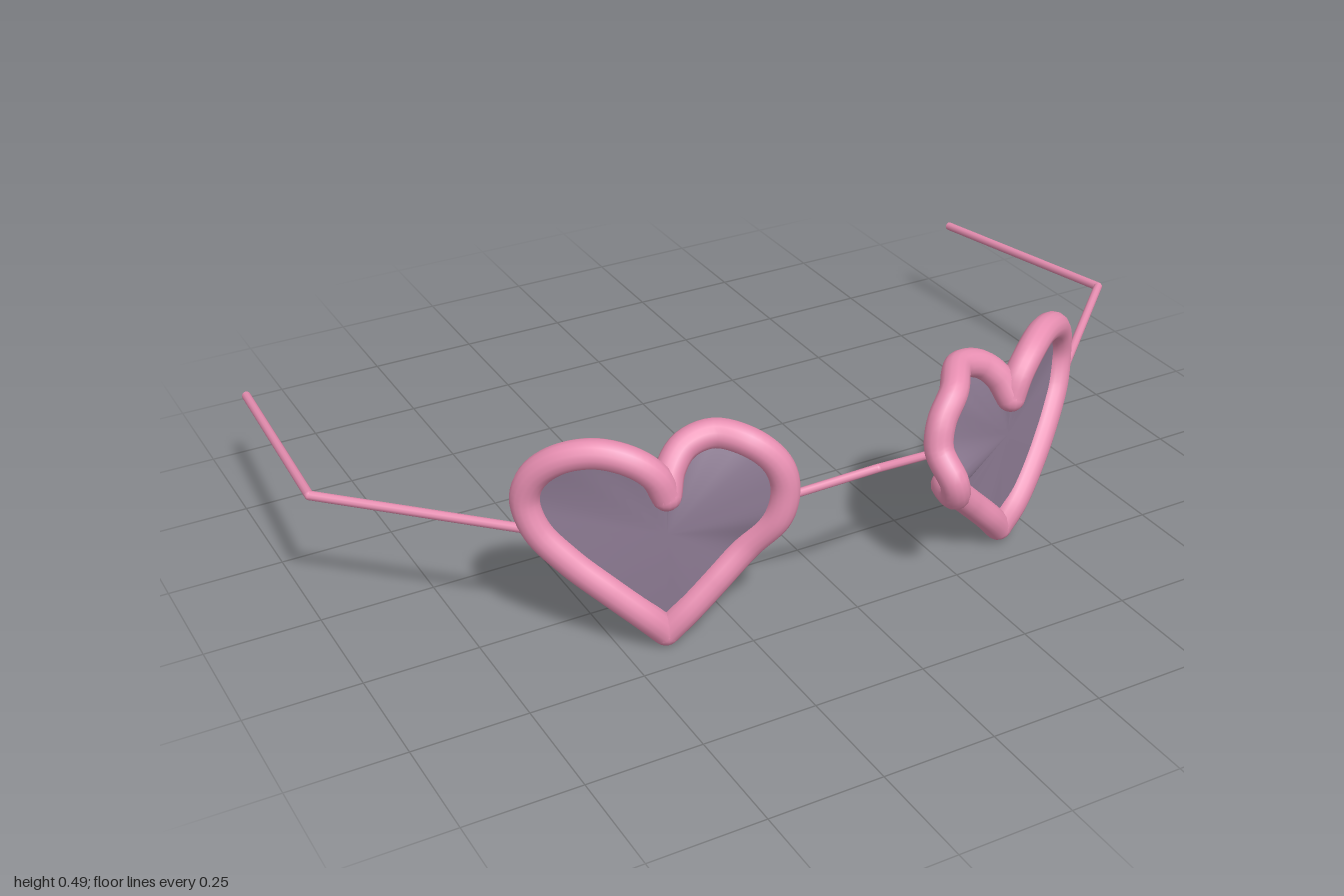
import * as THREE from 'three';

const pink = new THREE.MeshStandardMaterial({ color: 0xe88fb2 });
const tint = new THREE.MeshStandardMaterial({ color: 0x8c7a92, side: THREE.DoubleSide });
const V = (x, y, z) => new THREE.Vector3(x, y, z);

function add(parent, name, geometry, material) {
  const mesh = new THREE.Mesh(geometry, material);
  mesh.name = name;
  parent.add(mesh);
  return mesh;
}

// Straight wire through the given points, with rounded elbows
function wire(name, points, r) {
  const group = new THREE.Group();
  group.name = name;
  points.forEach((p, i) => {
    if (i === 0) return;
    const a = points[i - 1], dir = p.clone().sub(a);
    const rod = add(group, name + 'Rod', new THREE.CylinderGeometry(r, r, dir.length(), 10), pink);
    rod.position.copy(a).addScaledVector(dir, 0.5);
    rod.quaternion.setFromUnitVectors(V(0, 1, 0), dir.normalize());
    if (i < points.length - 1) {
      add(group, name + 'Elbow', new THREE.SphereGeometry(r, 10, 8), pink).position.copy(p);
    }
  });
  return group;
}

// Half heart from notch to tip: distance from the heart's middle, height
const half = [[0, 0.37], [0.02, 0.415], [0.06, 0.45], [0.12, 0.466], [0.18, 0.45], [0.222, 0.405],
  [0.236, 0.35], [0.222, 0.285], [0.17, 0.215], [0.1, 0.145], [0.04, 0.085], [0, 0.04]];
const outerZ = [0.435, 0.43, 0.41, 0.37, 0.33, 0.295, 0.282, 0.298, 0.338, 0.385, 0.415, 0.42];
const innerZ = [0.435, 0.415, 0.4, 0.41, 0.46, 0.485, 0.492, 0.488, 0.455, 0.445, 0.435, 0.42];
const MID = 0.41;

// Heart rim (two bent tubes meeting at notch and tip) and its fanned lens
function heart(name, side, bump) {
  const group = new THREE.Group();
  group.name = name;
  const outer = half.map(([d, y], i) => V(side * (MID + d), y, outerZ[i]));
  let inner = half.map(([d, y], i) => V(side * (MID - d), y, innerZ[i]));
  if (bump) {
    // The nose side of this rim is bent forward
    inner = [...inner.slice(0, 4), V(0.23, 0.45, 0.48), V(0.188, 0.405, 0.503), V(0.174, 0.35, 0.52),
      V(0.185, 0.295, 0.563), V(0.2, 0.25, 0.548), V(0.225, 0.23, 0.475), ...inner.slice(9)];
  }
  const r = 0.031;
  const curves = [outer, inner].map(p => new THREE.CatmullRomCurve3(p));
  curves.forEach(c => add(group, 'rim', new THREE.TubeGeometry(c, 64, r, 14), pink));
  [outer[0], outer[outer.length - 1]].forEach(p =>
    add(group, 'rimJoint', new THREE.SphereGeometry(r, 14, 10), pink).position.copy(p));

  // Lens: triangle fan from a hub to the rim's centre line
  const loop = [...curves[0].getSpacedPoints(40), ...curves[1].getSpacedPoints(40).reverse().slice(1)];
  const hub = V(side * MID, 0.28, 0.435);
  const index = [];
  for (let i = 1; i < loop.length; i++) {
    index.push(0, side > 0 ? i + 1 : i, side > 0 ? i : i + 1);
  }
  const lens = new THREE.BufferGeometry().setFromPoints([hub, ...loop]);
  lens.setIndex(index);
  lens.computeVertexNormals();
  // The loop runs clockwise on the +x side, so the order above faces +z
  add(group, 'lens', lens, tint);
  return group;
}

export function createModel() {
  const model = new THREE.Group();
  model.name = 'heartGlasses';

  model.add(heart('leftHeart', 1, true), heart('rightHeart', -1, false));

  // Bridge
  model.add(wire('bridge', [V(-0.16, 0.33, 0.495), V(0, 0.378, 0.558), V(0.16, 0.33, 0.495)], 0.009));

  // Temple arms
  [1, -1].forEach(s => model.add(wire(s > 0 ? 'leftArm' : 'rightArm',
    [V(s * 0.645, 0.289, 0.3), V(s * 0.99, 0.3, -0.018), V(s * 0.945, 0.242, -0.59)], 0.01)));

  return model;
}
